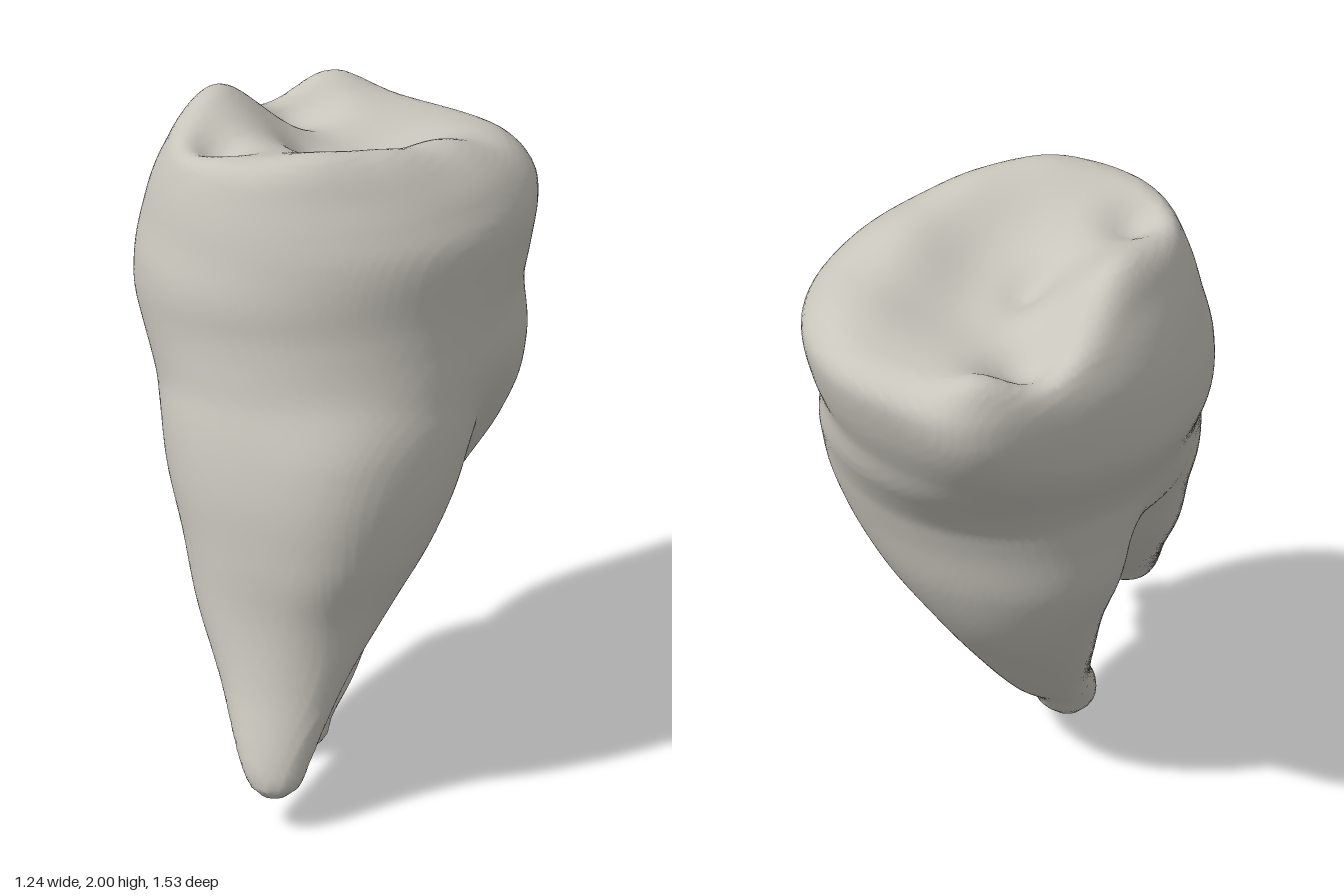
import * as THREE from 'three';

// Cross-sections, bottom to top: [y, centre x, centre z, half width, half depth]
const FRONT_ROOT = [
  [0.10, 0.48, 0.71, 0.03, 0.03], [0.13, 0.475, 0.70, 0.075, 0.06], [0.20, 0.445, 0.67, 0.11, 0.085],
  [0.40, 0.345, 0.53, 0.195, 0.16], [0.60, 0.275, 0.41, 0.30, 0.235], [0.80, 0.235, 0.305, 0.39, 0.325],
  [1.00, 0.18, 0.22, 0.46, 0.395], [1.20, 0.135, 0.165, 0.48, 0.40], [1.40, 0.07, 0.10, 0.45, 0.40],
  [1.55, 0.03, 0.03, 0.37, 0.36],
];
const BACK_ROOT = [
  [0.00, 0.12, 0.24, 0.04, 0.05], [0.04, 0.12, 0.232, 0.085, 0.085], [0.10, 0.11, 0.215, 0.10, 0.11],
  [0.20, 0.08, 0.135, 0.13, 0.145], [0.40, 0.00, 0.015, 0.20, 0.18], [0.60, -0.05, -0.075, 0.275, 0.23],
  [0.80, -0.06, -0.135, 0.38, 0.265], [1.00, -0.02, -0.155, 0.46, 0.31], [1.20, 0.01, -0.145, 0.51, 0.39],
  [1.40, -0.02, -0.12, 0.51, 0.45], [1.55, -0.04, -0.10, 0.40, 0.40],
];
// Fills the fork between the roots
const TRUNK = [
  [0.74, 0.07, 0.05, 0.08, 0.06], [0.80, 0.07, 0.05, 0.20, 0.15], [0.90, 0.07, 0.05, 0.35, 0.24],
  [1.05, 0.06, 0.05, 0.44, 0.30], [1.25, 0.04, 0.03, 0.49, 0.36], [1.50, 0.00, 0.00, 0.40, 0.36],
];
const CROWN = [
  [0.96, 0.04, -0.03, 0.16, 0.16], [1.10, 0.03, -0.05, 0.38, 0.40], [1.25, 0.01, -0.05, 0.51, 0.55],
  [1.40, -0.03, -0.055, 0.57, 0.605], [1.55, -0.04, -0.085, 0.58, 0.64], [1.70, -0.04, -0.12, 0.57, 0.64],
  [1.80, -0.05, -0.12, 0.525, 0.615], [1.90, -0.06, -0.13, 0.465, 0.59], [2.05, -0.07, -0.145, 0.39, 0.54],
];

// Chewing surface: basin, pit, cusps and grooves as soft bumps [x, z, radius, height]
const BUMPS = [
  [-0.08, -0.22, 0.28, -0.11], [-0.13, -0.08, 0.08, -0.045], [-0.42, 0.05, 0.18, 0.095],
  [0.22, 0.22, 0.17, 0.055], [0.27, -0.02, 0.16, 0.06], [0.22, -0.28, 0.17, 0.075],
  [0.10, -0.55, 0.15, 0.03], [-0.52, -0.54, 0.13, 0.06], [-0.44, -0.31, 0.14, -0.10],
  [-0.17, 0.29, 0.10, -0.07],
];
const chewingHeight = (x, z) => BUMPS.reduce(
  (h, [bx, bz, r, a]) => h + a * Math.exp(-((x - bx) ** 2 + (z - bz) ** 2) / (r * r)),
  1.915 + 0.19 * z);

// Smooth interpolation of a section table at height y
function sectionAt(table, y) {
  const n = table.length;
  y = THREE.MathUtils.clamp(y, table[0][0], table[n - 1][0]);
  let i = 0;
  while (i < n - 2 && y > table[i + 1][0]) i++;
  const slope = (j, c) => {
    const p = table[Math.max(j - 1, 0)], q = table[Math.min(j + 1, n - 1)];
    return (q[c] - p[c]) / (q[0] - p[0]);
  };
  const h = table[i + 1][0] - table[i][0], t = (y - table[i][0]) / h;
  const t2 = t * t, t3 = t2 * t;
  return [1, 2, 3, 4].map((c) =>
    (2 * t3 - 3 * t2 + 1) * table[i][c] + (t3 - 2 * t2 + t) * h * slope(i, c) +
    (3 * t2 - 2 * t3) * table[i + 1][c] + (t3 - t2) * h * slope(i + 1, c));
}

const smoothMin = (a, b, k) => {
  const h = Math.max(k - Math.abs(a - b), 0) / k;
  return Math.min(a, b) - h * h * k / 4;
};
const smoothMax = (a, b, k) => -smoothMin(-a, -b, k);

// Signed distance to an oval section turned by an angle; an optional corner
// [direction u, direction w, width, amount] swells one side of it
function oval(x, z, [cx, cz, a, b], angle, corner) {
  const cos = Math.cos(angle), sin = Math.sin(angle);
  const dx = x - cx, dz = z - cz;
  const u = (dx * cos - dz * sin) / a, w = (dx * sin + dz * cos) / b;
  let r = Math.hypot(u, w) + 1e-6;
  if (corner) {
    const turn = 1 - (corner[0] * u + corner[1] * w) / r;
    r /= 1 + corner[3] * Math.exp(-turn / corner[2]);
  }
  return Math.hypot(dx, dz) * (1 - 1 / r) - (r < 1e-3 ? Math.min(a, b) : 0);
}

// Field of the whole tooth in one horizontal layer; negative is inside
function toothLayer(y) {
  const { smoothstep } = THREE.MathUtils;
  const rootPart = (table, corner) => {
    const section = sectionAt(table, y);
    const cap = Math.max(table[0][0] - y, y - table[table.length - 1][0]);
    return (x, z) => Math.max(oval(x, z, section, 0.67, corner), cap);
  };
  const swell = 0.09 * smoothstep(y, 0.4, 0.75) * (1 - smoothstep(y, 1.1, 1.35));
  const front = rootPart(FRONT_ROOT, [0.21, 0.98, 0.09, swell]);
  const back = rootPart(BACK_ROOT), trunk = rootPart(TRUNK);
  const crown = sectionAt(CROWN, y);
  const crownCorner = [-0.755, -0.656, 0.045, 0.15 * smoothstep(y, 1.2, 1.65)];
  return (x, z) => {
    const above = y - chewingHeight(x, z);
    const side = Math.max(oval(x, z, crown, 0, crownCorner), CROWN[0][0] - y);
    const roots = smoothMin(smoothMin(front(x, z), back(x, z), 0.07), trunk(x, z), 0.12);
    // the roots end below the chewing surface
    return smoothMin(smoothMax(side, above, 0.09), Math.max(roots, above + 0.1), 0.1);
  };
}

// Wrap a smooth skin around the field: one vertex per crossed cell, one quad per crossed edge
function skinGeometry(layer, min, max, step) {
  const size = [0, 1, 2].map((i) => Math.ceil((max[i] - min[i]) / step) + 1);
  const stride = [1, size[0], size[0] * size[1]];
  const field = new Float32Array(stride[2] * size[2]);
  for (let j = 0; j < size[1]; j++) {
    const f = layer(min[1] + j * step);
    for (let k = 0; k < size[2]; k++)
      for (let i = 0; i < size[0]; i++)
        field[i + j * stride[1] + k * stride[2]] = f(min[0] + i * step, min[2] + k * step);
  }
  const cellVertex = new Int32Array(field.length).fill(-1);
  const positions = [], indices = [];
  const eachCell = (start, visit) => {
    for (let k = start; k < size[2] - 1; k++)
      for (let j = start; j < size[1] - 1; j++)
        for (let i = start; i < size[0] - 1; i++)
          visit([i, j, k], i + j * stride[1] + k * stride[2]);
  };
  eachCell(0, (cell, id) => {
    const sum = [0, 0, 0];
    let count = 0;
    for (let axis = 0; axis < 3; axis++) {
      const u = (axis + 1) % 3, v = (axis + 2) % 3;
      for (let e = 0; e < 4; e++) {
        const du = e & 1, dv = e >> 1;
        const p = id + du * stride[u] + dv * stride[v];
        const a = field[p], b = field[p + stride[axis]];
        if ((a < 0) === (b < 0)) continue;
        sum[axis] += a / (a - b);
        sum[u] += du;
        sum[v] += dv;
        count++;
      }
    }
    if (!count) return;
    cellVertex[id] = positions.length / 3;
    for (let i = 0; i < 3; i++) positions.push(min[i] + (cell[i] + sum[i] / count) * step);
  });
  eachCell(1, (cell, id) => {
    for (let axis = 0; axis < 3; axis++) {
      const inside = field[id] < 0;
      if (inside === (field[id + stride[axis]] < 0)) continue;
      const u = stride[(axis + 1) % 3], v = stride[(axis + 2) % 3];
      const [a, b, c, d] = [id - u - v, id - v, id, id - u].map((n) => cellVertex[n]);
      if (inside) indices.push(a, b, c, a, c, d);
      else indices.push(a, c, b, a, d, c);
    }
  });
  const geometry = new THREE.BufferGeometry();
  geometry.setAttribute('position', new THREE.Float32BufferAttribute(positions, 3));
  geometry.setIndex(indices);
  geometry.computeVertexNormals();
  return geometry;
}

export function createModel() {
  const enamel = new THREE.MeshStandardMaterial({ color: 0xc8c5bc });
  enamel.name = 'enamel';

  // Crown and both roots share one continuous skin
  const tooth = new THREE.Mesh(
    skinGeometry(toothLayer, [-0.75, -0.07, -0.88], [0.75, 2.1, 0.88], 0.02), enamel);
  tooth.name = 'toothCrownAndRoots';

  const group = new THREE.Group();
  group.name = 'molarTooth';
  group.add(tooth);
  return group;
}
